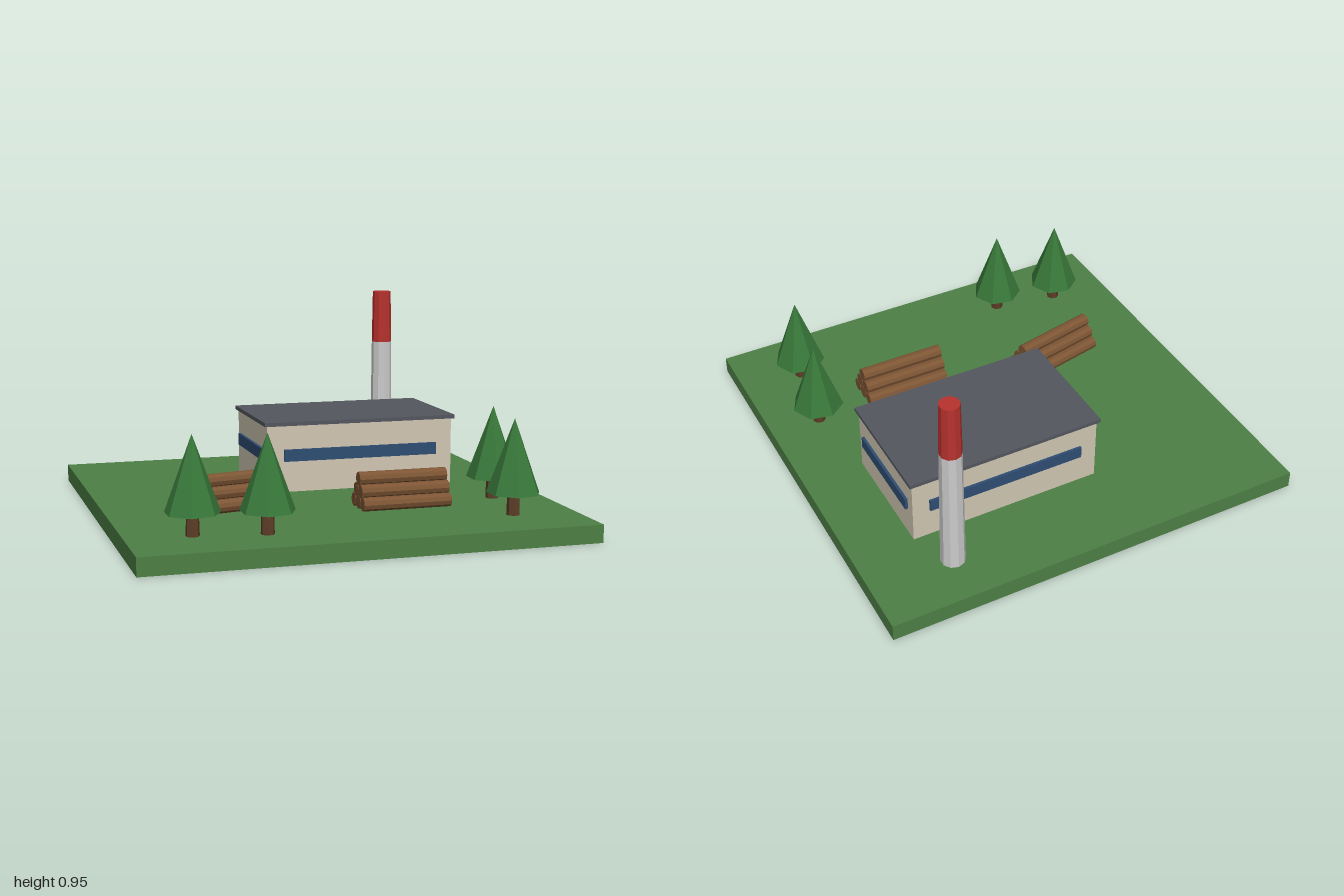
import * as THREE from 'three';

const mat = (color) => new THREE.MeshStandardMaterial({ color, flatShading: true });
const GROUND = 0.08;

export function createModel() {
  const model = new THREE.Group();
  model.name = 'sawmillYard';

  const grass = mat(0x4d8045), wall = mat(0xd1c7b3), roof = mat(0x55575f), glass = mat(0x2f4d73);
  const concrete = mat(0xc8c8c4), red = mat(0xb8322e), bark = mat(0x5c3d26);
  const timber = mat(0x7d5534), leaf = mat(0x38783a);

  const add = (parent, name, geometry, material, x, y, z) => {
    const mesh = new THREE.Mesh(geometry, material);
    mesh.name = name;
    mesh.position.set(x, y, z);
    parent.add(mesh);
    return mesh;
  };
  const box = (parent, name, material, w, h, d, x, y, z) =>
    add(parent, name, new THREE.BoxGeometry(w, h, d), material, x, y, z);
  const group = (name, x, z) => {
    const g = new THREE.Group();
    g.name = name;
    g.position.set(x, GROUND, z);
    model.add(g);
    return g;
  };

  // Ground slab
  box(model, 'ground', grass, 2, GROUND, 2, 0, GROUND / 2, 0);

  // Mill building with a flat roof and a window band on every side
  const mill = group('millBuilding', 0.253, -0.308);
  box(mill, 'walls', wall, 0.91, 0.315, 0.555, 0, 0.1575, 0);
  box(mill, 'roof', roof, 0.937, 0.018, 0.58, 0, 0.322, 0);
  for (const s of [-1, 1]) {
    box(mill, 'longWindow', glass, 0.75, 0.056, 0.02, 0, 0.173, s * 0.28);
    box(mill, 'endWindow', glass, 0.02, 0.056, 0.46, s * 0.458, 0.173, 0);
  }

  // Tapered chimney with a red upper section
  const chimney = group('chimney', 0.608, -0.768);
  add(chimney, 'chimneyShaft', new THREE.CylinderGeometry(0.05, 0.056, 0.61, 10), concrete, 0, 0.305, 0);
  add(chimney, 'chimneyTop', new THREE.CylinderGeometry(0.046, 0.05, 0.26, 10), red, 0, 0.74, 0);

  // Stacked log piles: rows of three, two and one
  const R = 0.031;
  const logGeometry = new THREE.CylinderGeometry(R, R, 0.41, 10).rotateZ(Math.PI / 2);
  for (const [x, z, turn] of [[0.303, 0.408, 0], [-0.462, 0.254, 0.21]]) {
    const pile = group('logPile', x, z);
    pile.rotation.y = turn;
    for (let row = 0; row < 3; row++) {
      for (let i = 0; i < 3 - row; i++) {
        add(pile, 'log', logGeometry, timber, 0, R + row * 0.052, (i - (2 - row) / 2) * 0.063);
      }
    }
  }

  // Conifers
  const trunkGeometry = new THREE.CylinderGeometry(0.027, 0.03, 0.1, 7).rotateY(Math.PI / 2);
  const crownGeometry = new THREE.ConeGeometry(0.12, 0.328, 7).rotateY(Math.PI / 2);
  for (const [x, z] of [[-0.715, 0.712], [-0.41, 0.764], [0.71, 0.712], [0.762, 0.354]]) {
    const tree = group('tree', x, z);
    add(tree, 'trunk', trunkGeometry, bark, 0, 0.05, 0);
    add(tree, 'crown', crownGeometry, leaf, 0, 0.261, 0);
  }

  return model;
}
